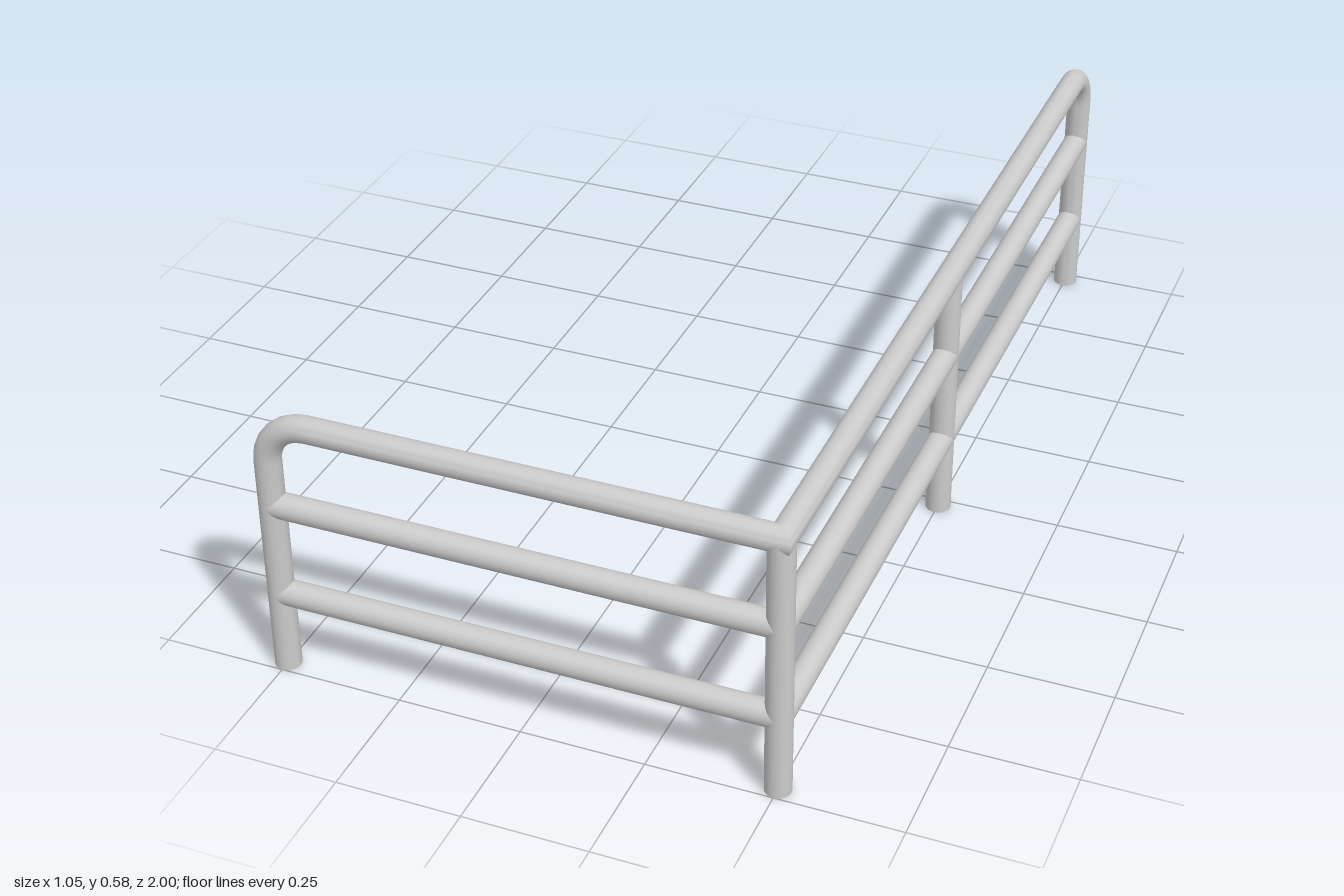
import * as THREE from 'three';
import { toCreasedNormals } from 'three/addons/utils/BufferGeometryUtils.js';

const R = 0.026, SIDES = 20;
const X = 0.5, Z = 0.974, MID_Z = 0.022;
const TOP = 0.554, BEND = 0.085, RAILS = [0.17, 0.37];
const V = (x, y, z) => new THREE.Vector3(x, y, z);
const material = new THREE.MeshStandardMaterial({ color: 0xcccccc });

// Round pipe along a polyline, with a mitre joint at every inner point
function mitredPipe(points) {
  const dirs = points.slice(1).map((p, i) => p.clone().sub(points[i]).normalize());
  const positions = [], index = [];
  const side = V(0, 0, 1).cross(dirs[0]).normalize();
  const other = dirs[0].clone().cross(side);
  let ring = [];
  for (let k = 0; k < SIDES; k++) {
    const a = (k / SIDES) * Math.PI * 2;
    ring.push(points[0].clone().addScaledVector(side, R * Math.cos(a)).addScaledVector(other, R * Math.sin(a)));
  }
  points.forEach((p, i) => {
    if (i > 0) {
      // slide the ring along its segment onto the plane that halves the joint
      const d = dirs[i - 1];
      const n = d.clone().add(dirs[i] ?? d).normalize();
      ring = ring.map(q => q.clone().addScaledVector(d, p.clone().sub(q).dot(n) / d.dot(n)));
    }
    ring.forEach(q => positions.push(q.x, q.y, q.z));
  });
  const last = points.length - 1;
  for (let i = 0; i < last; i++) {
    for (let k = 0; k < SIDES; k++) {
      const a = i * SIDES + k, b = i * SIDES + (k + 1) % SIDES;
      index.push(a, b, b + SIDES, a, b + SIDES, a + SIDES);
    }
  }
  // end caps
  for (let k = 1; k < SIDES - 1; k++) {
    const e = last * SIDES;
    index.push(0, k + 1, k, e, e + k, e + k + 1);
  }
  const g = new THREE.BufferGeometry();
  g.setAttribute('position', new THREE.Float32BufferAttribute(positions, 3));
  g.setIndex(index);
  return toCreasedNormals(g, 0.6);
}

// Quarter bend from a vertical post at `post` into the top rail heading along `dir`
function bend(post, dir, steps = 6) {
  return Array.from({ length: steps + 1 }, (_, i) => {
    const a = (i / steps) * Math.PI / 2;
    return post.clone().addScaledVector(dir, BEND * (1 - Math.cos(a))).setY(TOP - BEND + BEND * Math.sin(a));
  });
}

export function createModel() {
  const group = new THREE.Group();

  function add(name, geometry) {
    const mesh = new THREE.Mesh(geometry, material);
    mesh.name = name;
    group.add(mesh);
    return mesh;
  }
  function bar(name, from, to) {
    const mesh = add(name, new THREE.CylinderGeometry(R, R, from.distanceTo(to), SIDES));
    mesh.position.copy(from).lerp(to, 0.5);
    mesh.quaternion.setFromUnitVectors(V(0, 1, 0), to.clone().sub(from).normalize());
  }

  // Both end posts and the top rail are one bent pipe, mitred at the corner
  const frontEnd = V(-X, 0, Z), backEnd = V(X, 0, -Z);
  add('topRailAndEndPosts', mitredPipe([
    frontEnd, ...bend(frontEnd, V(1, 0, 0)),
    V(X, TOP, Z),
    ...bend(backEnd, V(0, 0, 1)).reverse(), backEnd,
  ]));

  // Straight posts
  bar('cornerPost', V(X, 0, Z), V(X, TOP, Z));
  bar('middlePost', V(X, 0, MID_Z), V(X, TOP, MID_Z));

  // Lower rails on both sides
  RAILS.forEach((y, i) => {
    bar('frontRail' + (i + 1), V(-X, y, Z), V(X, y, Z));
    bar('sideRail' + (i + 1), V(X, y, Z), V(X, y, -Z));
  });

  return group;
}
